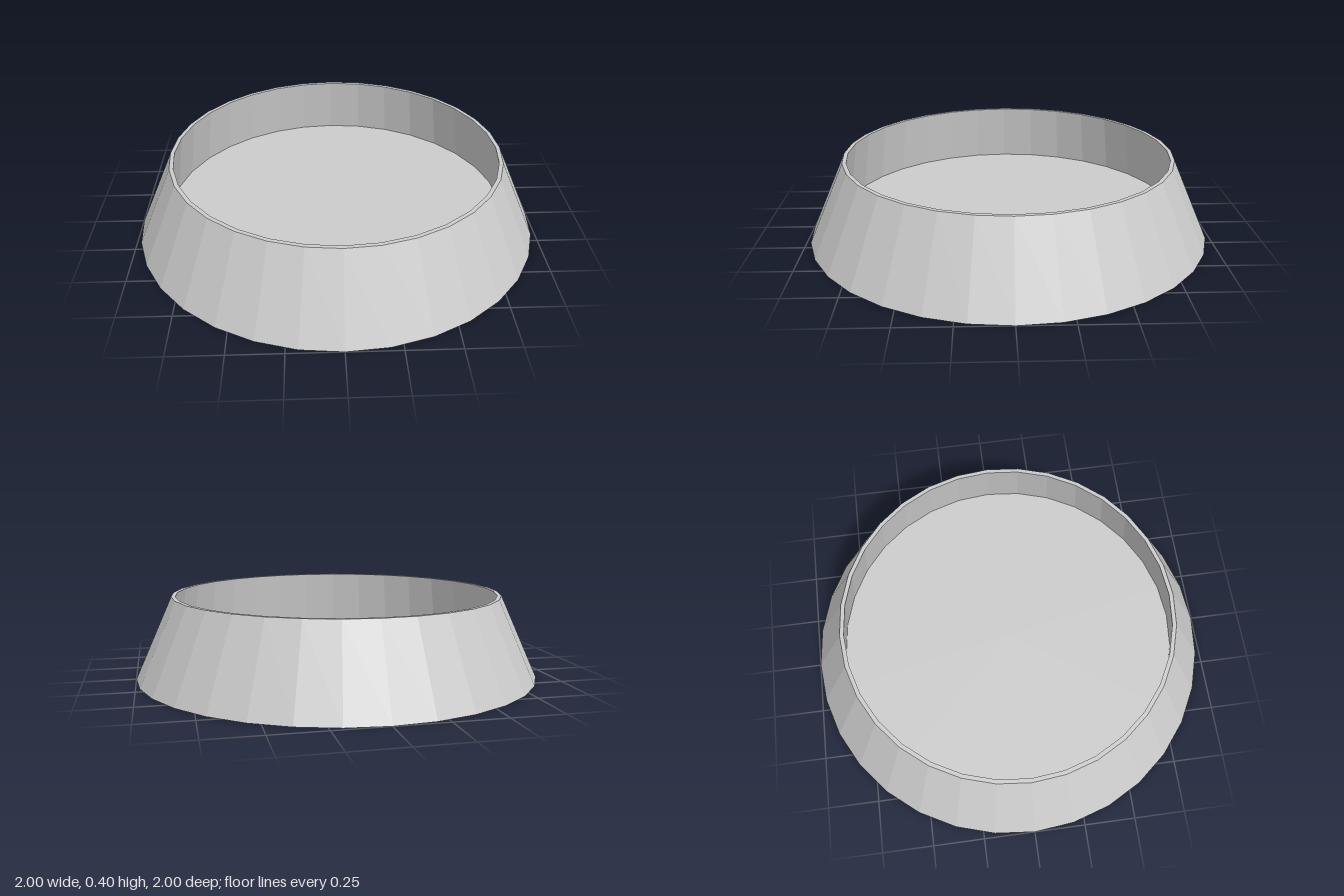
import * as THREE from 'three';

const SIDES = 32;

export function createModel() {
  const model = new THREE.Group();
  model.name = 'bowl';
  const material = new THREE.MeshStandardMaterial({ color: 0xcccccc, flatShading: true });

  // Each part is a faceted band turned around the y axis; points are [radius, height]
  const addTurned = (name, points) => {
    const profile = points.map(([r, y]) => new THREE.Vector2(r, y));
    const mesh = new THREE.Mesh(new THREE.LatheGeometry(profile, SIDES), material);
    mesh.name = name;
    model.add(mesh);
  };

  addTurned('base', [[0, 0], [1, 0]]);
  addTurned('outerWall', [[1, 0], [0.82, 0.4]]);
  addTurned('rim', [[0.82, 0.4], [0.8, 0.4]]);
  // The inside widens slightly towards the floor
  addTurned('innerWall', [[0.8, 0.4], [0.845, 0.1]]);
  addTurned('floor', [[0.845, 0.1], [0, 0.1]]);

  return model;
}
